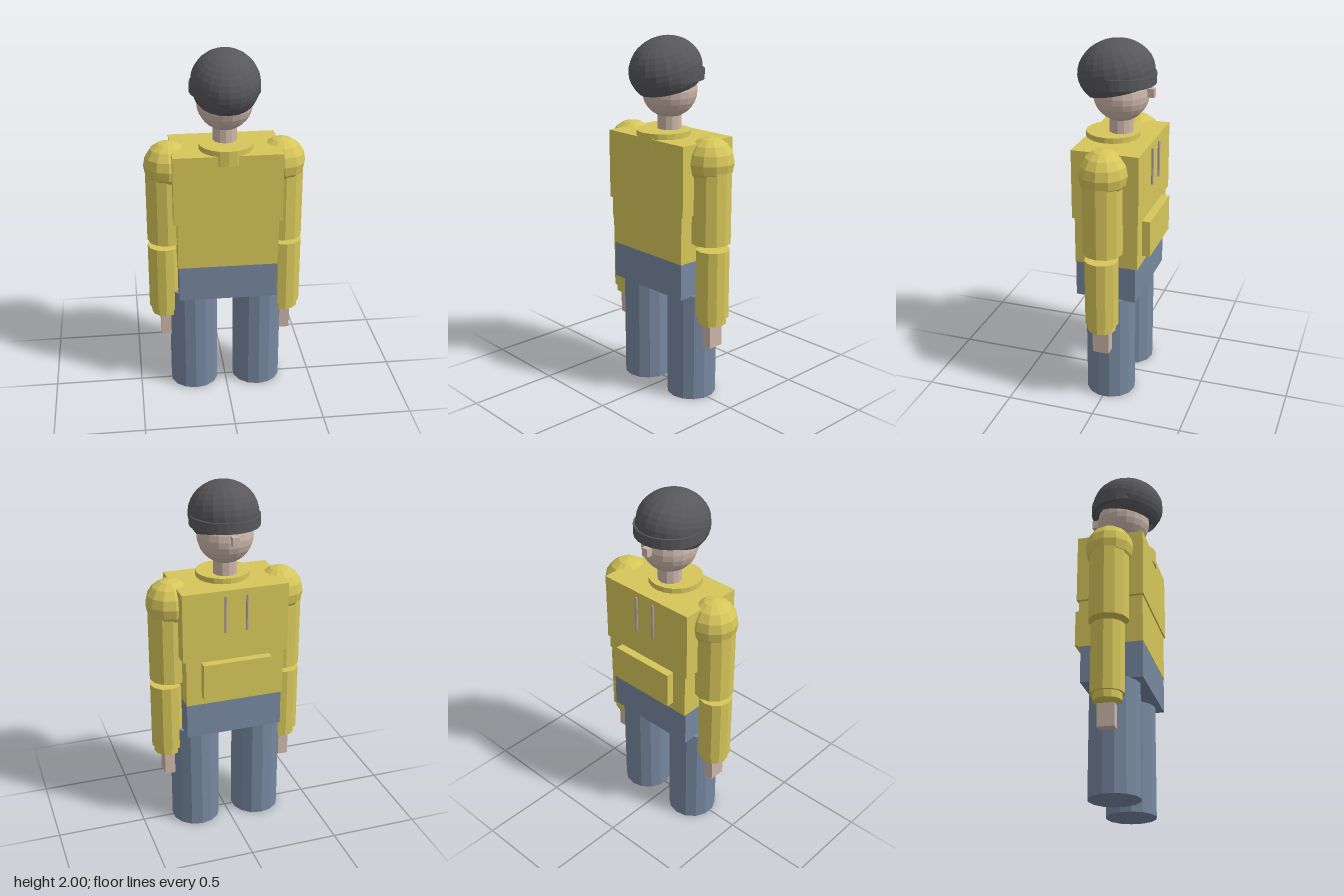
import * as THREE from 'three';

const mat = (name, color) => {
  const m = new THREE.MeshStandardMaterial({ color, flatShading: true });
  m.name = name;
  return m;
};

export function createModel() {
  const model = new THREE.Group();
  model.name = 'figure';
  const yellow = mat('yellow sweater', 0xd6c65a);
  const denim = mat('blue denim', 0x7788a0);
  const skin = mat('skin', 0xcdb7ab);
  const dark = mat('dark grey hair', 0x58585c);
  const cord = mat('grey cord', 0xaaa0a4);
  dark.side = THREE.DoubleSide;

  const add = (name, geometry, material, x, y, z) => {
    const mesh = new THREE.Mesh(geometry, material);
    mesh.name = name;
    mesh.position.set(x, y, z);
    model.add(mesh);
    return mesh;
  };
  // box given by half width, y range and z range
  const box = (name, m, x, hw, y0, y1, z0, z1) =>
    add(name, new THREE.BoxGeometry(hw * 2, y1 - y0, z1 - z0), m, x, (y0 + y1) / 2, (z0 + z1) / 2);
  // upright cylinder given by radius and y range
  const post = (name, m, x, z, r, y0, y1, sides = 12) =>
    add(name, new THREE.CylinderGeometry(r, r, y1 - y0, sides), m, x, (y0 + y1) / 2, z);

  // torso and hips
  box('chest', yellow, 0, 0.296, 1.085, 1.47, -0.196, 0.173);
  box('belly', yellow, 0, 0.277, 0.818, 1.085, -0.187, 0.165);
  box('pocket', yellow, 0, 0.192, 0.865, 1.07, -0.232, -0.18);
  box('hips', denim, 0, 0.273, 0.615, 0.818, -0.175, 0.163);
  post('collar', yellow, 0, 0.037, 0.147, 1.415, 1.5, 20);

  // limbs and cords, mirrored
  for (const s of [-1, 1]) {
    const side = s > 0 ? 'left' : 'right';
    post(side + 'Leg', denim, s * 0.184, -0.008, 0.138, 0, 0.62, 14);
    add(side + 'Shoulder', new THREE.SphereGeometry(0.133, 12, 8), yellow, s * 0.311, 1.367, -0.01);
    post(side + 'UpperArm', yellow, s * 0.325, -0.009, 0.11, 0.925, 1.367);
    post(side + 'Forearm', yellow, s * 0.342, -0.008, 0.093, 0.505, 0.89);
    post(side + 'Cuff', yellow, s * 0.344, -0.007, 0.079, 0.465, 0.51);
    box(side + 'Hand', skin, s * 0.345, 0.029, 0.325, 0.45, -0.055, 0.037);
    post(side + 'Cord', cord, s * 0.06, -0.203, 0.007, 1.235, 1.44, 8);
  }

  // head
  post('neck', skin, 0, -0.008, 0.066, 1.46, 1.61);
  add('head', new THREE.SphereGeometry(0.152, 18, 14), skin, 0, 1.712, -0.008);
  box('nose', skin, 0, 0.018, 1.703, 1.75, -0.193, -0.13);

  // tilted hair cap, longer in depth, with a band round it
  const hair = add('hair',
    new THREE.SphereGeometry(1, 20, 12, 0, Math.PI * 2, 0, Math.PI * 0.69), dark, 0, 1.824, 0.02);
  hair.scale.set(0.186, 0.174, 0.21);
  hair.rotation.x = 0.225;
  post('hairBand', dark, 0, -0.006, 0.19, 1.77, 1.827, 24);

  return model;
}
